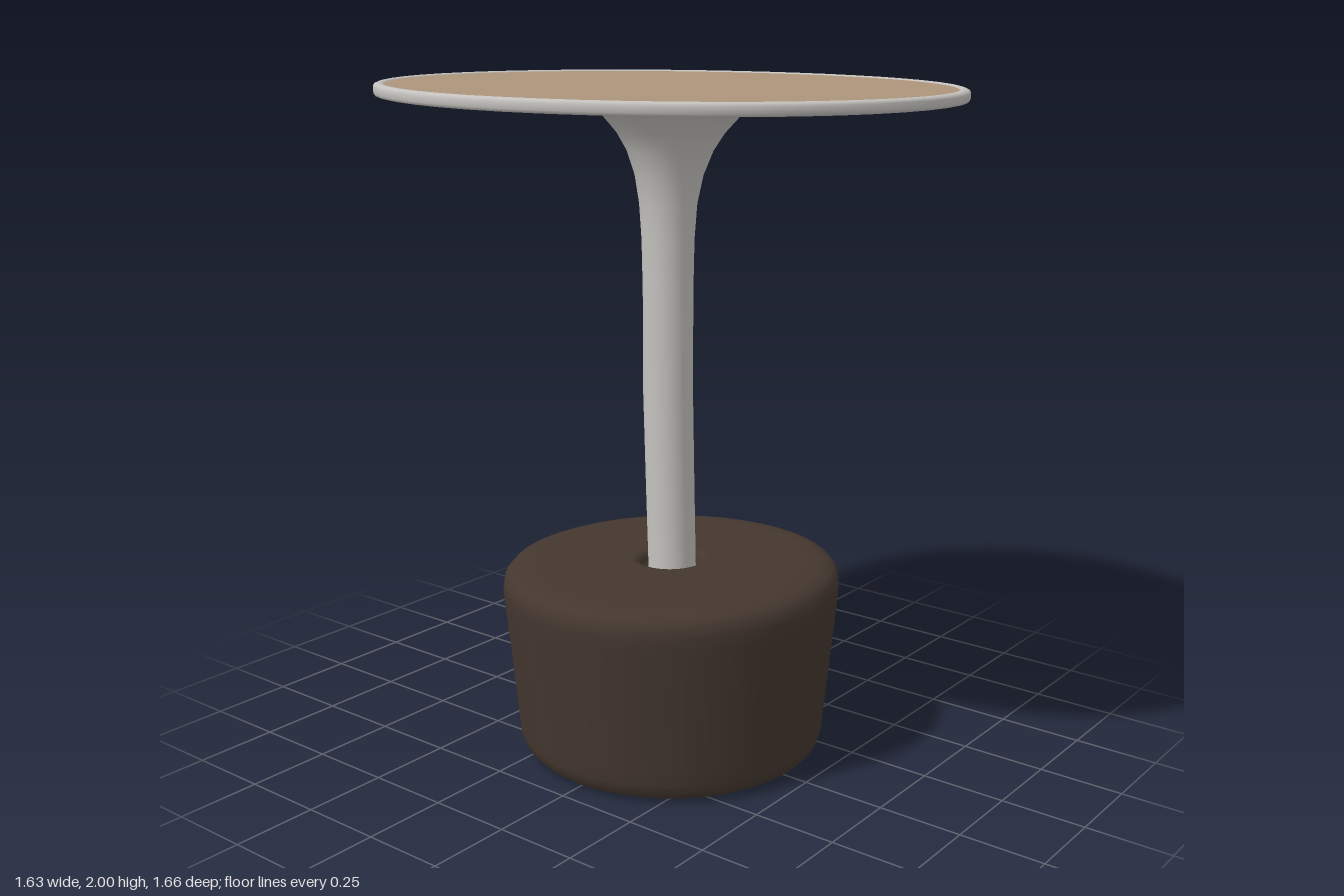
import * as THREE from 'three';

const SIDES = 48;
const material = (name, color) => Object.assign(new THREE.MeshStandardMaterial({ color }), { name });
const smooth = THREE.MathUtils.smoothstep;

// Revolve a profile of [radius, height] pairs, then adjust each vertex by a rule
function turned(name, profile, mat, rule) {
  const geometry = new THREE.LatheGeometry(profile.map(([r, y]) => new THREE.Vector2(r, y)), SIDES);
  const pos = geometry.attributes.position;
  const v = new THREE.Vector3();
  for (let i = 0; i < pos.count; i++) {
    rule(v.fromBufferAttribute(pos, i));
    pos.setXYZ(i, v.x, v.y, v.z);
  }
  const mesh = new THREE.Mesh(geometry, mat);
  mesh.name = name;
  return mesh;
}

// The top tilts slightly forward and is a touch narrower in x; the stem wavers
function leanTop(v) {
  const w = smooth(v.y, 1.6, 1.93);
  v.y += w * (0.007 * v.x - 0.018 * v.z);
  v.x *= 1 - 0.018 * w;
  const up = smooth(v.y, 0.6, 1.0);
  v.x -= 0.008 * up * (1 - w);
  v.z += (0.005 - 0.01 * up) * (1 - w);
}

// The upper face of the base slopes a little
function leanBase(v) {
  const w = smooth(v.y, 0.3, 0.58);
  v.y += w * (0.006 * v.x + 0.016 * v.z);
}

export function createModel() {
  const grey = material('pale grey metal', 0xc4c2be);
  const tan = material('tan top', 0xad947b);
  const brown = material('dark brown base', 0x44372f);
  const table = new THREE.Group();
  table.name = 'pedestalTable';

  // Heavy tapered base with rounded edges and a socket for the stem
  table.add(turned('base', [
    [0, 0.005], [0.2, 0.005], [0.38, 0.005], [0.41, 0.008], [0.435, 0.018], [0.452, 0.036],
    [0.461, 0.065], [0.465, 0.11], [0.485, 0.32], [0.501, 0.48], [0.504, 0.52], [0.499, 0.55],
    [0.482, 0.57], [0.45, 0.582], [0.4, 0.587], [0.25, 0.59], [0.12, 0.59], [0.1, 0.585],
    [0.09, 0.57], [0.086, 0.54], [0, 0.54],
  ], brown, leanBase));

  // Stem flaring into the underside of the top
  table.add(turned('stem', [
    [0.071, 0.53], [0.072, 0.8], [0.073, 1.1], [0.073, 1.4], [0.076, 1.55], [0.083, 1.65],
    [0.098, 1.73], [0.124, 1.8], [0.155, 1.85], [0.195, 1.895], [0.235, 1.921],
    [0.275, 1.936], [0.33, 1.945], [0.42, 1.95],
  ], grey, leanTop));

  // Underside and rounded rim of the top
  table.add(turned('tabletopUnderside', [[0.36, 1.947], [0.42, 1.949], [0.82, 1.95]], grey, leanTop));
  table.add(turned('tabletopRim', [
    [0.815, 1.95], [0.825, 1.952], [0.83, 1.959], [0.83, 1.975], [0.825, 1.982], [0.815, 1.985],
    [0.804, 1.984], [0.798, 1.978], [0.797, 1.965],
  ], grey, leanTop));

  // Inset top surface
  table.add(turned('tabletopPanel', [[0.8, 1.981], [0.4, 1.982], [0, 1.982]], tan, leanTop));

  return table;
}
